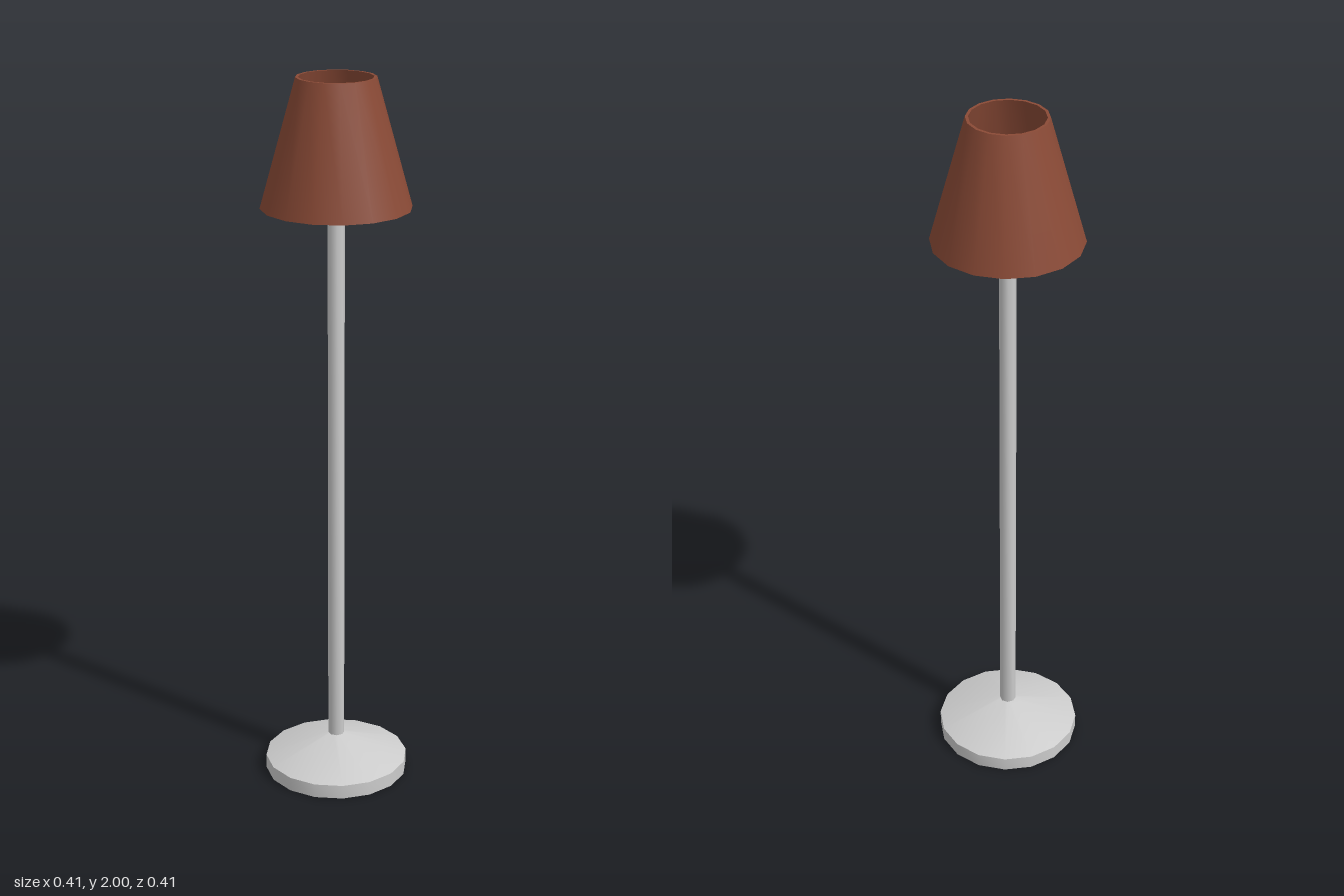
import * as THREE from 'three';
import { toCreasedNormals } from 'three/addons/utils/BufferGeometryUtils.js';

const grey = new THREE.MeshStandardMaterial({ color: 0xcccccc });
const brown = new THREE.MeshStandardMaterial({ color: 0x8a4a36 });
const cream = new THREE.MeshStandardMaterial({ color: 0xf2efc8 });

// Turned part from [radius, height] pairs, smooth around and sharp at the rims
function turned(name, profile, sides, material) {
  const points = profile.map(([r, y]) => new THREE.Vector2(r, y));
  const geometry = toCreasedNormals(new THREE.LatheGeometry(points, sides), 0.85);
  const mesh = new THREE.Mesh(geometry, material);
  mesh.name = name;
  return mesh;
}

export function createModel() {
  const lamp = new THREE.Group();
  lamp.name = 'floorLamp';

  // Weighted disc with a shallow conical top
  lamp.add(turned('base', [[0, 0], [0.203, 0], [0.203, 0.04], [0.022, 0.105], [0, 0.105]], 16, grey));

  // Slim upright reaching inside the shade
  lamp.add(turned('pole', [[0.023, 0.1], [0.023, 1.77], [0, 1.77]], 8, grey));

  // Small bulb on top of the pole
  const bulb = new THREE.Mesh(new THREE.SphereGeometry(0.04, 8, 6), cream);
  bulb.name = 'bulb';
  bulb.position.y = 1.8;
  lamp.add(bulb);

  // Hollow tapered shade, open at both ends
  lamp.add(turned('shade',
    [[0.203, 1.655], [0.107, 2], [0.099, 2], [0.196, 1.655], [0.203, 1.655]], 16, brown));

  return lamp;
}
